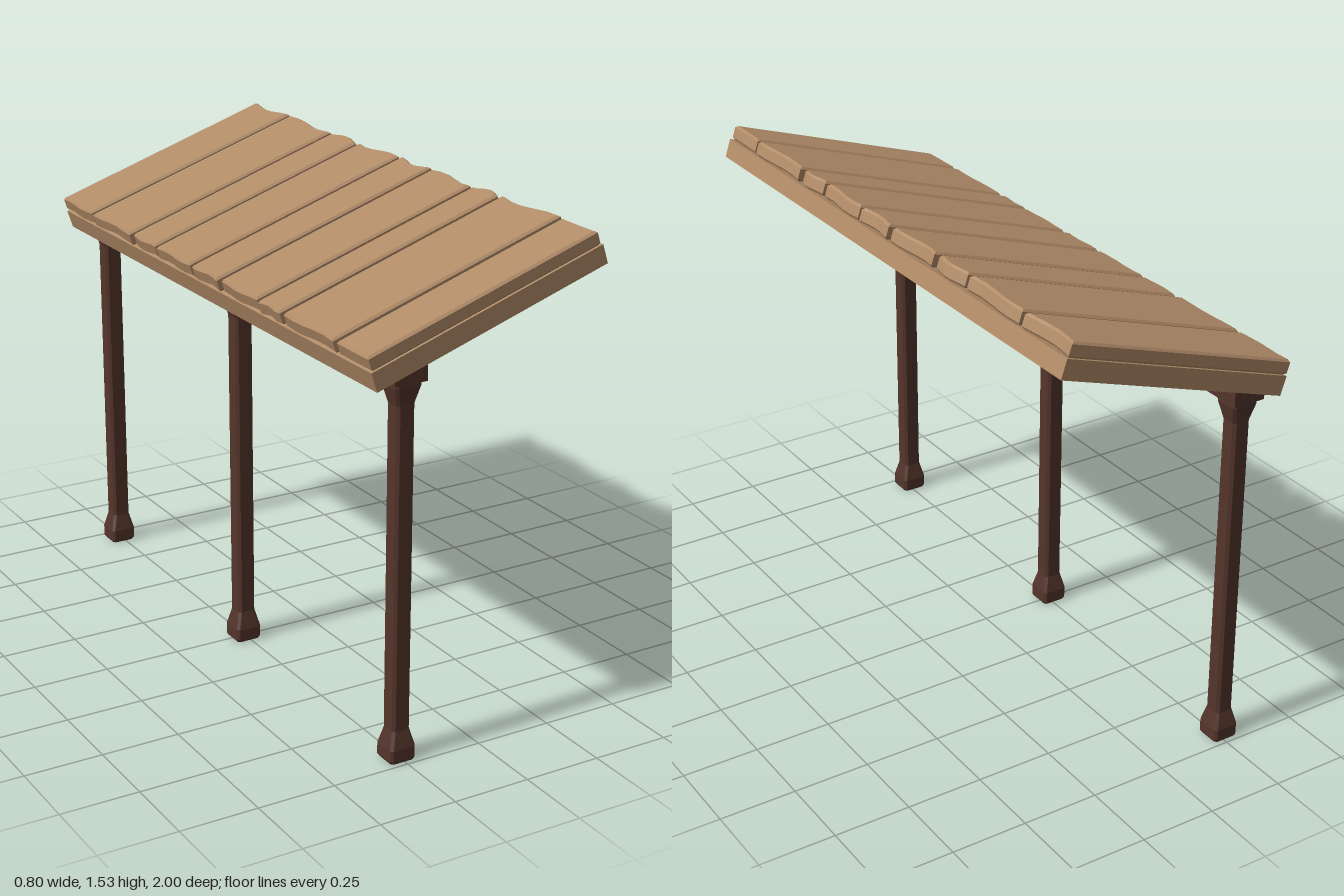
import * as THREE from 'three';

const WOOD = 0xb28c68, DARK = 0x54352b;
const material = color => {
  const m = new THREE.MeshStandardMaterial({ color });
  m.flatShading = true;
  return m;
};
const wood = material(WOOD), dark = material(DARK);

function part(name, geometry, mat) {
  const mesh = new THREE.Mesh(geometry, mat);
  mesh.name = name;
  return mesh;
}

// Square column with chamfered corners, lofted through rings of [y, halfWidth, chamfer]
function loftGeometry(rings) {
  const pos = [], index = [];
  for (const [y, h, c] of rings) {
    const k = h - c;
    for (const [x, z] of [[h, k], [h, -k], [k, -h], [-k, -h], [-h, -k], [-h, k], [-k, h], [k, h]]) pos.push(x, y, z);
  }
  const last = (rings.length - 1) * 8;
  for (let r = 0; r < last; r += 8) {
    for (let i = 0; i < 8; i++) {
      const a = r + i, b = r + (i + 1) % 8;
      index.push(a, b, b + 8, a, b + 8, a + 8);
    }
  }
  for (let i = 1; i < 7; i++) {
    index.push(0, i + 1, i);
    index.push(last, last + i, last + i + 1);
  }
  const g = new THREE.BufferGeometry();
  g.setAttribute('position', new THREE.Float32BufferAttribute(pos, 3));
  g.setIndex(index);
  const flat = g.toNonIndexed();
  flat.computeVertexNormals();
  return flat;
}

// Bevelled roof board with slightly worn, wavy ends; lies in the local x/z plane
function plankGeometry(z0, z1, seed, wear) {
  const bevel = 0.007, thick = 0.048, n = 5;
  const low = [], high = [];
  for (let i = 0; i <= n; i++) {
    const s = -z1 + (z1 - z0) * i / n;
    low.push(new THREE.Vector2(0.003 + wear * 0.004 * Math.sin(seed * 2.3 + i * 1.4), s));
    high.push(new THREE.Vector2(0.802 + wear * 0.009 * Math.sin(seed * 1.7 + i * 1.1), s));
  }
  const shape = new THREE.Shape([...high, ...low.reverse()]);
  const g = new THREE.ExtrudeGeometry(shape, {
    depth: thick - 2 * bevel, bevelEnabled: true, bevelSize: bevel,
    bevelThickness: bevel, bevelOffset: -bevel, bevelSegments: 1,
  });
  g.rotateX(-Math.PI / 2);
  g.translate(0, bevel, 0);
  return g;
}

export function createModel() {
  const model = new THREE.Group();
  model.name = 'leanToShelter';

  // Sloping roof: one slab covered with boards of mixed width
  const roof = new THREE.Group();
  roof.name = 'roof';
  roof.position.set(-0.37, 1.175, 0);
  roof.rotation.z = Math.atan2(0.255, 0.77);
  const slab = part('roofSlab', new THREE.BoxGeometry(0.811, 0.062, 2), wood);
  slab.position.set(0.4055, 0.031, 0);
  roof.add(slab);
  const spans = [[-1, -0.775], [-0.755, -0.475], [-0.455, -0.3], [-0.28, -0.055], [-0.035, 0.13],
    [0.15, 0.37], [0.39, 0.515], [0.535, 0.815], [0.835, 1]];
  spans.forEach(([z0, z1], i) => {
    const plank = part('roofPlank', plankGeometry(z0, z1, i + 1, i === 8 ? 0.1 : 1), wood);
    plank.position.y = 0.063;
    roof.add(plank);
  });
  model.add(roof);

  // Beam with its top cut to the roof slope
  const section = new THREE.Shape([[-0.312, 1.18], [-0.205, 1.18], [-0.205, 1.231], [-0.312, 1.196]]
    .map(p => new THREE.Vector2(...p)));
  const beamGeometry = new THREE.ExtrudeGeometry(section, { depth: 1.996, bevelEnabled: false });
  beamGeometry.translate(0, 0, -0.998);
  model.add(part('beam', beamGeometry, dark));

  // Posts with flared foot and head, braced to the beam
  const postGeometry = loftGeometry([[0, 0.038, 0.007], [0.008, 0.043, 0.008], [0.045, 0.043, 0.008],
    [0.1, 0.03, 0.009], [1.11, 0.03, 0.009], [1.165, 0.043, 0.008], [1.182, 0.043, 0.008]]);
  const braceGeometry = new THREE.BoxGeometry(0.026, 0.115, 0.013);
  for (const [z, sides] of [[0.945, [-1]], [0.005, [-1, 1]], [-0.945, [1]]]) {
    const post = new THREE.Group();
    post.name = 'post';
    post.position.set(-0.257, 0, z);
    post.add(part('postColumn', postGeometry, dark));
    for (const side of sides) {
      const brace = part('brace', braceGeometry, dark);
      brace.position.set(0, 1.144, side * 0.06);
      brace.rotation.x = side * Math.PI / 4;
      post.add(brace);
    }
    model.add(post);
  }
  return model;
}
